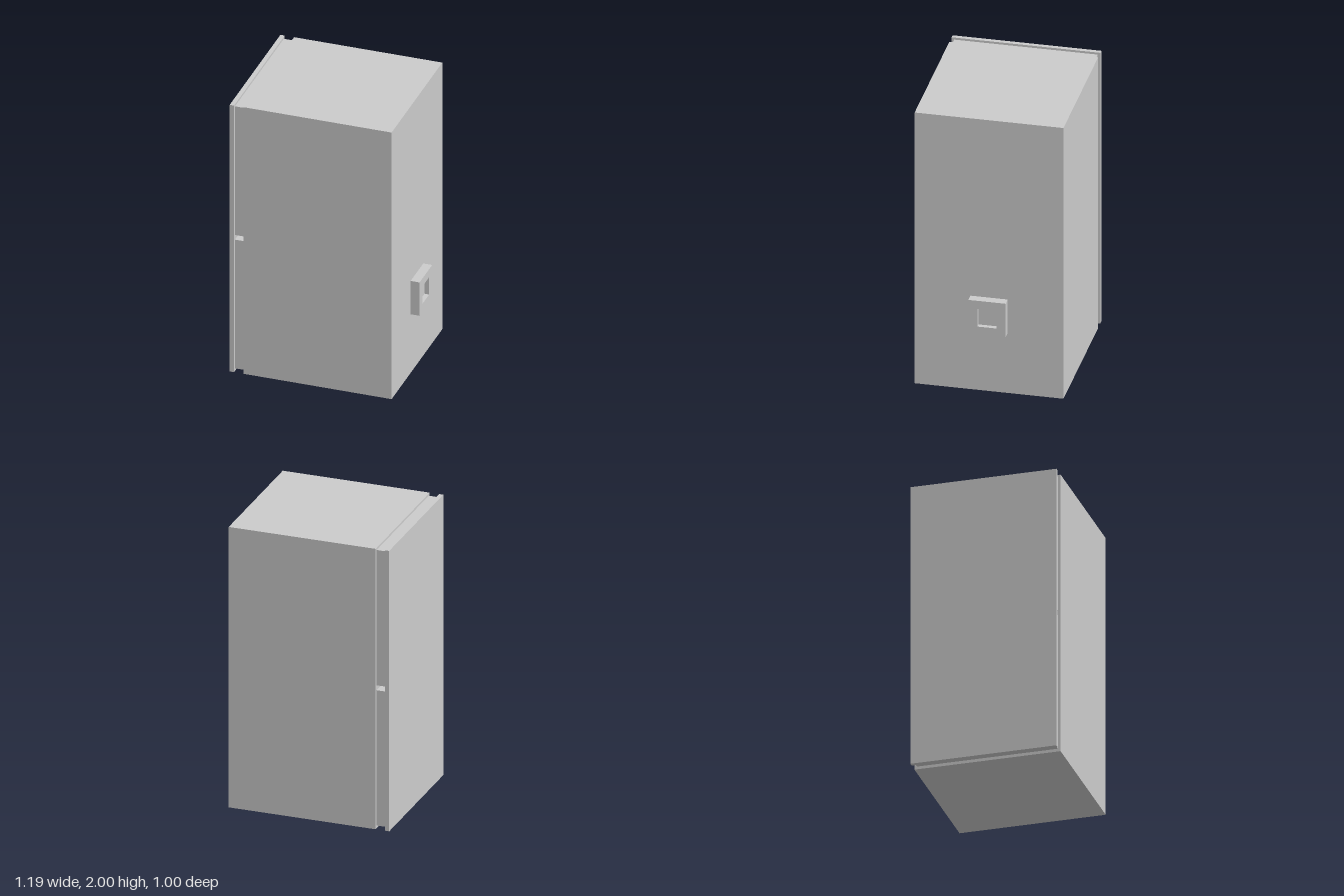
import * as THREE from 'three';

const material = new THREE.MeshStandardMaterial({ color: 0xcccccc, flatShading: true });

// Box given by its x range, y range and depth, centred on z = 0
function block(name, x0, x1, y0, y1, depth) {
  const mesh = new THREE.Mesh(new THREE.BoxGeometry(x1 - x0, y1 - y0, depth), material);
  mesh.name = name;
  mesh.position.set((x0 + x1) / 2, (y0 + y1) / 2, 0);
  return mesh;
}

function square(PathType, half) {
  const path = new PathType();
  path.moveTo(-half, -half);
  path.lineTo(half, -half);
  path.lineTo(half, half);
  path.lineTo(-half, half);
  path.closePath();
  return path;
}

export function createModel() {
  const group = new THREE.Group();
  group.name = 'cabinet';

  // Main body
  group.add(block('body', -0.5, 0.53, 0, 2, 1));

  // Thin outer panel, held off the body by two inset blocks
  group.add(block('outerPanel', -0.595, -0.565, 0, 2, 1));
  group.add(block('lowerInset', -0.565, -0.5, 0.02, 0.985, 0.965));
  group.add(block('upperInset', -0.565, -0.5, 1.02, 1.985, 0.965));

  // Square frame with a shallow recess on the opposite side
  const shape = square(THREE.Shape, 0.125);
  shape.holes.push(square(THREE.Path, 0.065));
  const frame = new THREE.Mesh(
    new THREE.ExtrudeGeometry(shape, { depth: 0.062, bevelEnabled: false }), material);
  frame.name = 'socketFrame';
  frame.rotation.y = Math.PI / 2;
  frame.position.set(0.53, 0.565, 0);
  group.add(frame);
  group.add(block('socketFloor', 0.53, 0.56, 0.5, 0.63, 0.13));

  return group;
}
